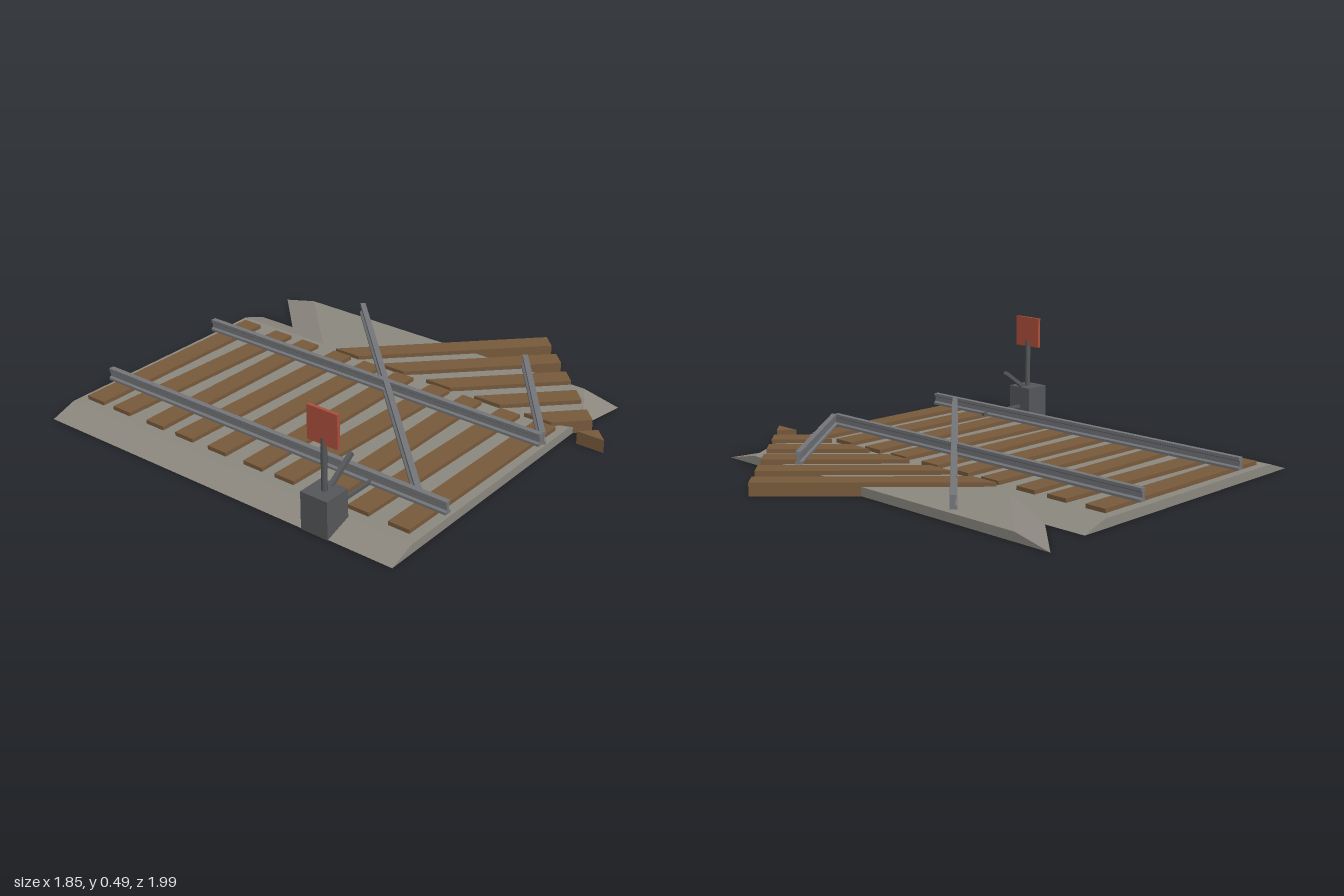
import * as THREE from 'three';

const mat = (name, color) => Object.assign(new THREE.MeshStandardMaterial({ color }), { name });

// Solid between two horizontal convex outlines given as [x, z] points
function frustum(base, top, y0, y1) {
  let area = 0;
  base.forEach(([x, z], i) => {
    const [nx, nz] = base[(i + 1) % base.length];
    area += z * nx - x * nz;
  });
  if (area < 0) { base = [...base].reverse(); top = [...top].reverse(); }
  const n = base.length, pos = [];
  const b = (i) => [base[i % n][0], y0, base[i % n][1]];
  const t = (i) => [top[i % n][0], y1, top[i % n][1]];
  const tri = (...pts) => pts.forEach((p) => pos.push(...p));
  for (let i = 0; i < n; i++) {
    tri(b(i), b(i + 1), t(i + 1));
    tri(b(i), t(i + 1), t(i));
    if (i > 0 && i < n - 1) {
      tri(t(0), t(i), t(i + 1));
      tri(b(0), b(i + 1), b(i));
    }
  }
  const g = new THREE.BufferGeometry();
  g.setAttribute('position', new THREE.Float32BufferAttribute(pos, 3));
  g.computeVertexNormals();
  return g;
}

// I-shaped rail from one [x, z] point to another
function railGeometry([ax, az], [bx, bz]) {
  const half = [[0.015, 0], [0.015, 0.01], [0.006, 0.016], [0.006, 0.036], [0.012, 0.041], [0.012, 0.054]];
  const outline = [...half, ...half.map(([x, y]) => [-x, y]).reverse()];
  const shape = new THREE.Shape(outline.map(([x, y]) => new THREE.Vector2(x, y)));
  const g = new THREE.ExtrudeGeometry(shape, { depth: Math.hypot(bx - ax, bz - az), bevelEnabled: false });
  g.rotateY(Math.atan2(bx - ax, bz - az));
  g.translate(ax, 0.057, az);
  return g;
}

export function createModel() {
  const group = new THREE.Group();
  group.name = 'railwaySwitch';
  const gravel = mat('gravel', 0x8c8880);
  const wood = mat('wood', 0x785a3c);
  const steel = mat('railSteel', 0x74767a);
  const iron = mat('darkIron', 0x55575a);
  const red = mat('signalRed', 0xad4f3c);
  const add = (name, geometry, material, x = 0, y = 0, z = 0) => {
    const m = new THREE.Mesh(geometry, material);
    m.name = name;
    m.position.set(x, y, z);
    group.add(m);
    return m;
  };

  // Gravel beds: straight track and branch
  const rect = (x0, x1) => [[x0, -0.96], [x1, -0.96], [x1, 0.81], [x0, 0.81]];
  add('mainBallast', frustum(rect(-0.925, 0.38), rect(-0.81, 0.265), 0.001, 0.04), gravel);
  add('branchBallast', frustum(
    [[0.61, -1], [0.61, 0.85], [0.38, 0.81], [0, 0.3], [0, -0.39]],
    [[0.61, -0.83], [0.61, 0.68], [0.38, 0.805], [0.1, 0.3], [0.1, -0.32]], 0.001, 0.039), gravel);

  // Slightly crooked sleepers: z at the left and right end
  const sleepers = [[-0.875, -0.87], [-0.72, -0.68], [-0.525, -0.52], [-0.36, -0.33], [-0.18, -0.16],
    [0.01, 0.015], [0.17, 0.205], [0.37, 0.37], [0.53, 0.56], [0.715, 0.73]];
  sleepers.forEach(([zl, zr], i) => {
    const w = 0.048;
    const o = [[-0.762, zl - w], [0.215, zr - w], [0.215, zr + w], [-0.762, zl + w]];
    add('mainSleeper' + (i + 1), frustum(o, o, i < 3 ? 0.004 : 0, 0.057), wood);
  });

  // Branch sleepers run at 45 degrees and are cut off beside the main track
  const cut = 0.235, end = 1.225;
  for (let i = 0; i < 6; i++) {
    const c = -0.62 + 0.25 * i, d = c + 0.13;
    const far = (k) => [(end - k) / 2, (end + k) / 2];
    const o = i < 5
      ? [[cut, cut + c], far(c), far(d), [cut, cut + d]]
      : [[cut, cut + c], far(c), [cut, end - cut]];
    add('branchSleeper' + (i + 1), frustum(o, o, 0, 0.057), wood);
  }

  // Rails
  [
    ['leftMainRail', [0.045, -0.96], [0.045, 0.81]],
    ['rightMainRail', [-0.59, -0.96], [-0.59, 0.81]],
    ['crossingRail', [-0.583, 0.673], [0.612, -0.526]],
    ['outerBranchRail', [0.055, 0.812], [0.61, 0.38]],
  ].forEach(([name, a, b]) => add(name, railGeometry(a, b), steel));

  // Switch stand with lever, throw rod and target
  add('standBox', new THREE.BoxGeometry(0.12, 0.16, 0.125), iron, -0.868, 0.08, 0.458);
  add('standPost', new THREE.CylinderGeometry(0.012, 0.012, 0.22, 8), iron, -0.868, 0.27, 0.46);
  add('throwRod', new THREE.BoxGeometry(0.26, 0.014, 0.012), iron, -0.687, 0.066, 0.458);
  const lever = add('lever', new THREE.BoxGeometry(0.16, 0.017, 0.018), iron, -0.775, 0.198, 0.458);
  lever.rotation.z = Math.atan2(0.085, 0.125);
  add('targetPlate', new THREE.BoxGeometry(0.014, 0.14, 0.14), red, -0.87, 0.423, 0.46);

  return group;
}
